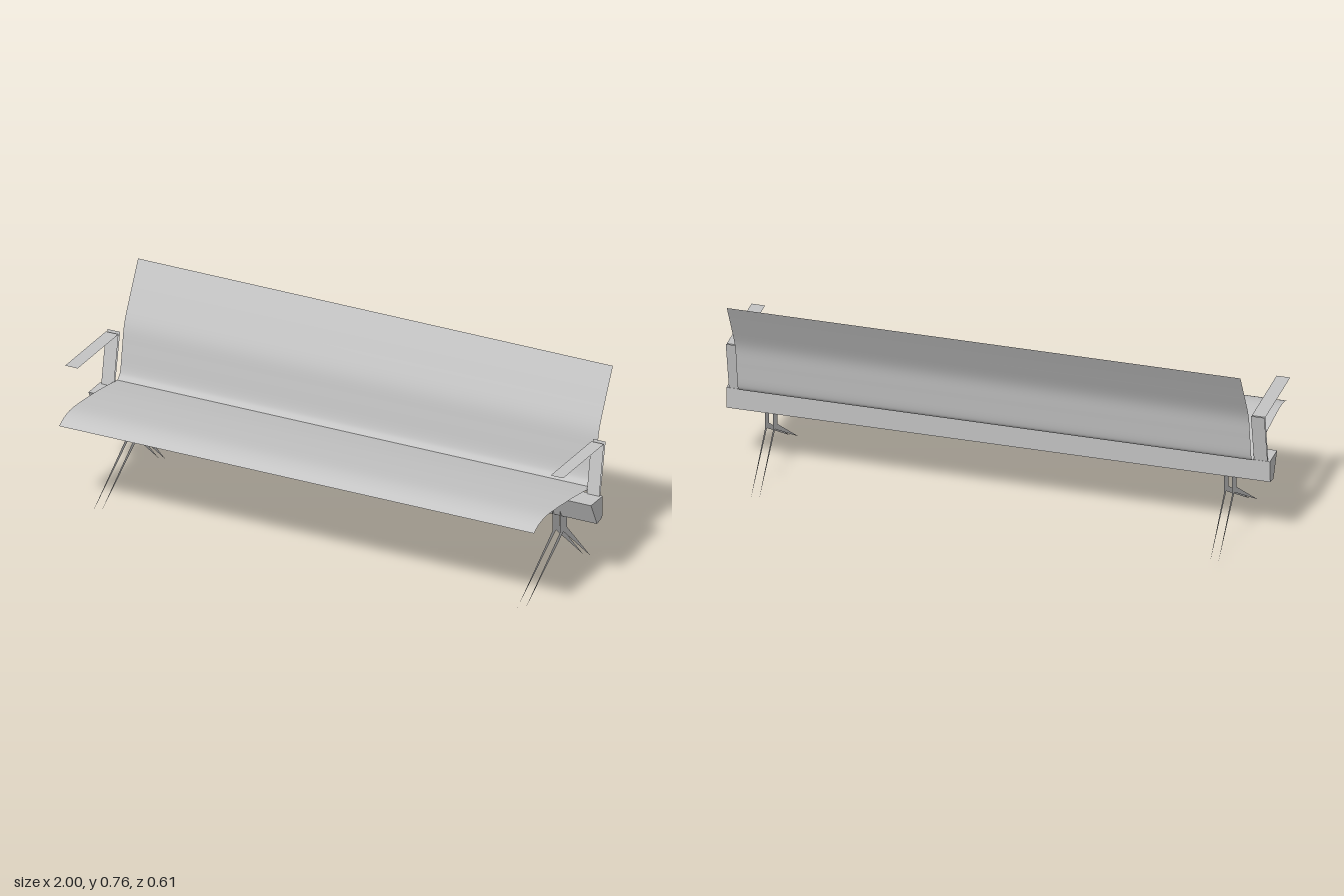
import * as THREE from 'three';

const steel = new THREE.MeshStandardMaterial({ color: 0xc4c4c4, side: THREE.DoubleSide });
steel.name = 'light grey';

// Thin bent sheet: a [z, y] profile swept across a width in x
function sheet(name, profile, width, x = 0, segments = 20) {
  const curve = new THREE.SplineCurve(profile.map(([z, y]) => new THREE.Vector2(z, y)));
  const geometry = new THREE.PlaneGeometry(width, 1, 1, segments);
  const pos = geometry.attributes.position;
  for (let i = 0; i < pos.count; i++) {
    const p = curve.getPoint(THREE.MathUtils.clamp(pos.getY(i) + 0.5, 0, 1));
    pos.setXYZ(i, pos.getX(i) + x, p.y, p.x);
  }
  geometry.computeVertexNormals();
  const mesh = new THREE.Mesh(geometry, steel);
  mesh.name = name;
  return mesh;
}

// Side outline in [z, y], turned so that it lies across the x axis
function outline(points) {
  return new THREE.Shape(points.map(([z, y]) => new THREE.Vector2(-z, y)));
}

function sideMesh(name, geometry, x) {
  geometry.rotateY(Math.PI / 2);
  const mesh = new THREE.Mesh(geometry, steel);
  mesh.position.x = x;
  mesh.name = name;
  return mesh;
}

export function createModel() {
  const bench = new THREE.Group();
  bench.name = 'bench';

  // Curved seat and reclined backrest
  bench.add(sheet('seat', [
    [0.3, 0.362], [0.26, 0.381], [0.2, 0.39], [0.1, 0.384], [-0.03, 0.37], [-0.145, 0.352],
  ], 1.89));
  bench.add(sheet('backrest', [
    [-0.125, 0.343], [-0.155, 0.358], [-0.17, 0.385], [-0.184, 0.47], [-0.201, 0.555],
    [-0.247, 0.65], [-0.305, 0.76],
  ], 1.89, 0, 30));

  // Tapered beam under the seat
  const beam = outline([[-0.031, 0.341], [-0.077, 0.25], [-0.117, 0.258], [-0.121, 0.341]]);
  bench.add(sideMesh('beam', new THREE.ExtrudeGeometry(beam, { depth: 2, bevelEnabled: false }), -1));

  // Forked leg plate
  const leg = outline([
    [-0.062, 0.28], [-0.062, 0.19], [0.205, 0.004], [-0.09, 0.183],
    [-0.297, 0], [-0.117, 0.19], [-0.117, 0.28],
  ]);

  for (const side of [-1, 1]) {
    // Armrest: flat arm on a leaning double post
    const armrest = new THREE.Group();
    armrest.name = side > 0 ? 'leftArmrest' : 'rightArmrest';
    const x = side * 0.966;
    armrest.add(
      sheet('arm', [[0.165, 0.531], [-0.147, 0.531]], 0.05, x, 1),
      sheet('postFront', [[-0.112, 0.341], [-0.147, 0.531]], 0.05, x, 1),
      sheet('postBack', [[-0.12, 0.341], [-0.16, 0.535]], 0.05, x, 1),
    );
    bench.add(armrest);

    // Pair of leg plates
    for (const offset of [0.83, 0.86]) {
      bench.add(sideMesh('legPlate', new THREE.ShapeGeometry(leg), side * offset));
    }
  }
  return bench;
}
